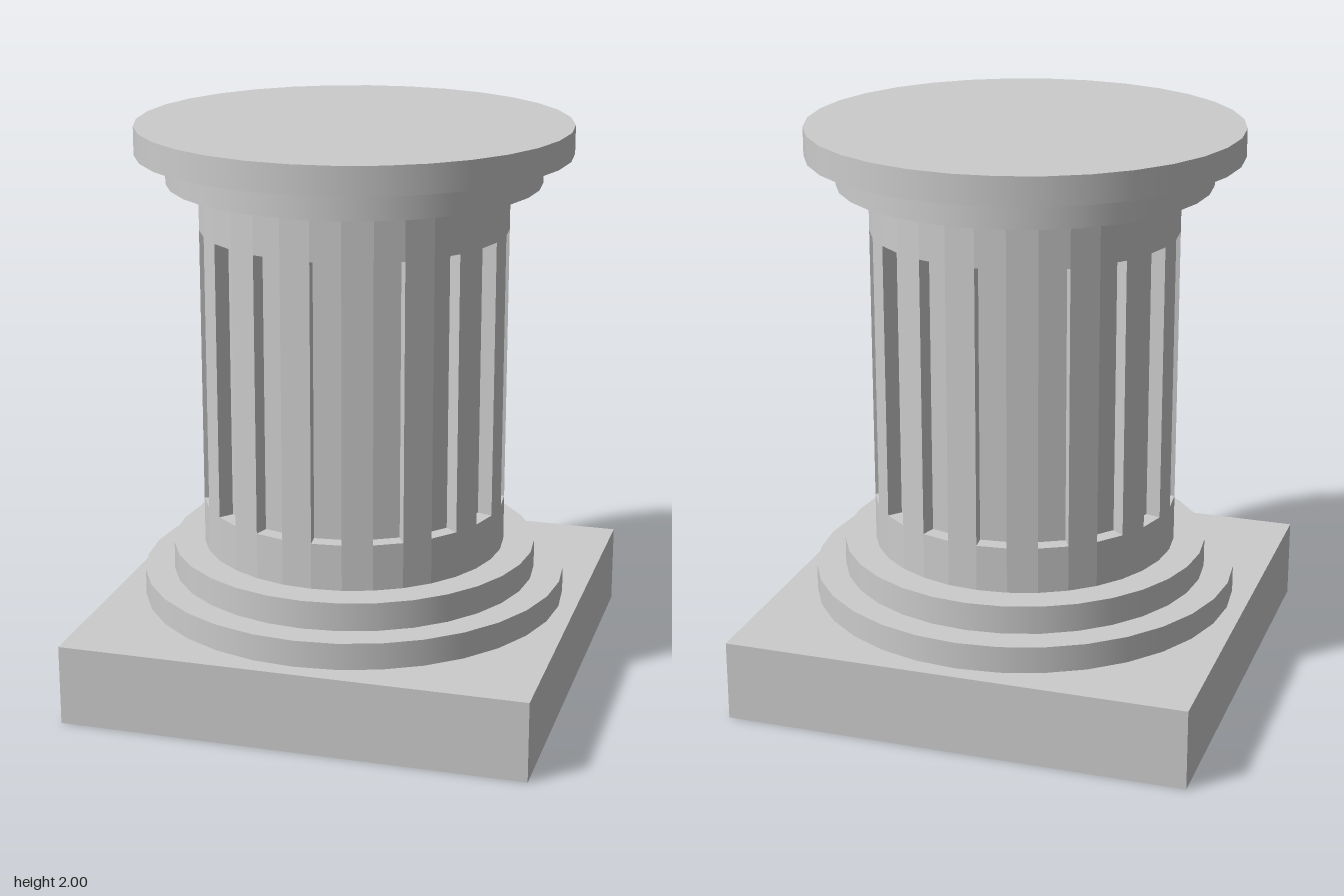
import * as THREE from 'three';

const SIDES = 32;
const SHAFT_R = 0.542;
const FLUTE_DEPTH = 0.055;

const smooth = new THREE.MeshStandardMaterial({ color: 0xcccccc });
const flat = new THREE.MeshStandardMaterial({ color: 0xcccccc, flatShading: true });

// Round drum standing between two heights
function drum(name, radius, y0, y1, material) {
  const geometry = new THREE.CylinderGeometry(radius, radius, y1 - y0, SIDES);
  geometry.translate(0, (y0 + y1) / 2, 0);
  const mesh = new THREE.Mesh(geometry, material);
  mesh.name = name;
  return mesh;
}

// Shaft section in which every other facet is sunk straight inwards
function flutedDrum(y0, y1) {
  const step = (Math.PI * 2) / SIDES;
  const corner = (i) => new THREE.Vector2(Math.sin(i * step), -Math.cos(i * step)).multiplyScalar(SHAFT_R);
  const points = [];
  for (let i = 0; i < SIDES; i += 2) {
    const a = corner(i);
    const b = corner(i + 1);
    const inward = a.clone().add(b).setLength(-FLUTE_DEPTH);
    points.push(a, a.clone().add(inward), b.clone().add(inward), b);
  }
  const geometry = new THREE.ExtrudeGeometry(new THREE.Shape(points), { depth: y1 - y0, bevelEnabled: false });
  geometry.rotateX(-Math.PI / 2);
  geometry.translate(0, y0, 0);
  const mesh = new THREE.Mesh(geometry, flat);
  mesh.name = 'flutedShaft';
  return mesh;
}

export function createModel() {
  const model = new THREE.Group();
  model.name = 'pedestalColumn';

  // Square plinth
  const plinth = new THREE.Mesh(new THREE.BoxGeometry(1.646, 0.286, 1.646), flat);
  plinth.name = 'plinth';
  plinth.position.y = 0.143;
  model.add(plinth);

  // Stepped base
  model.add(drum('baseLowerStep', 0.76, 0.286, 0.381, smooth));
  model.add(drum('baseUpperStep', 0.654, 0.381, 0.482, smooth));

  // Shaft: plain bands above and below the flutes
  model.add(drum('shaftLowerBand', SHAFT_R, 0.482, 0.647, flat));
  model.add(flutedDrum(0.647, 1.632));
  model.add(drum('shaftUpperBand', SHAFT_R, 1.632, 1.798, flat));

  // Stepped capital
  model.add(drum('capitalLowerStep', 0.654, 1.798, 1.901, smooth));
  model.add(drum('capitalUpperStep', 0.76, 1.901, 2, smooth));

  return model;
}
